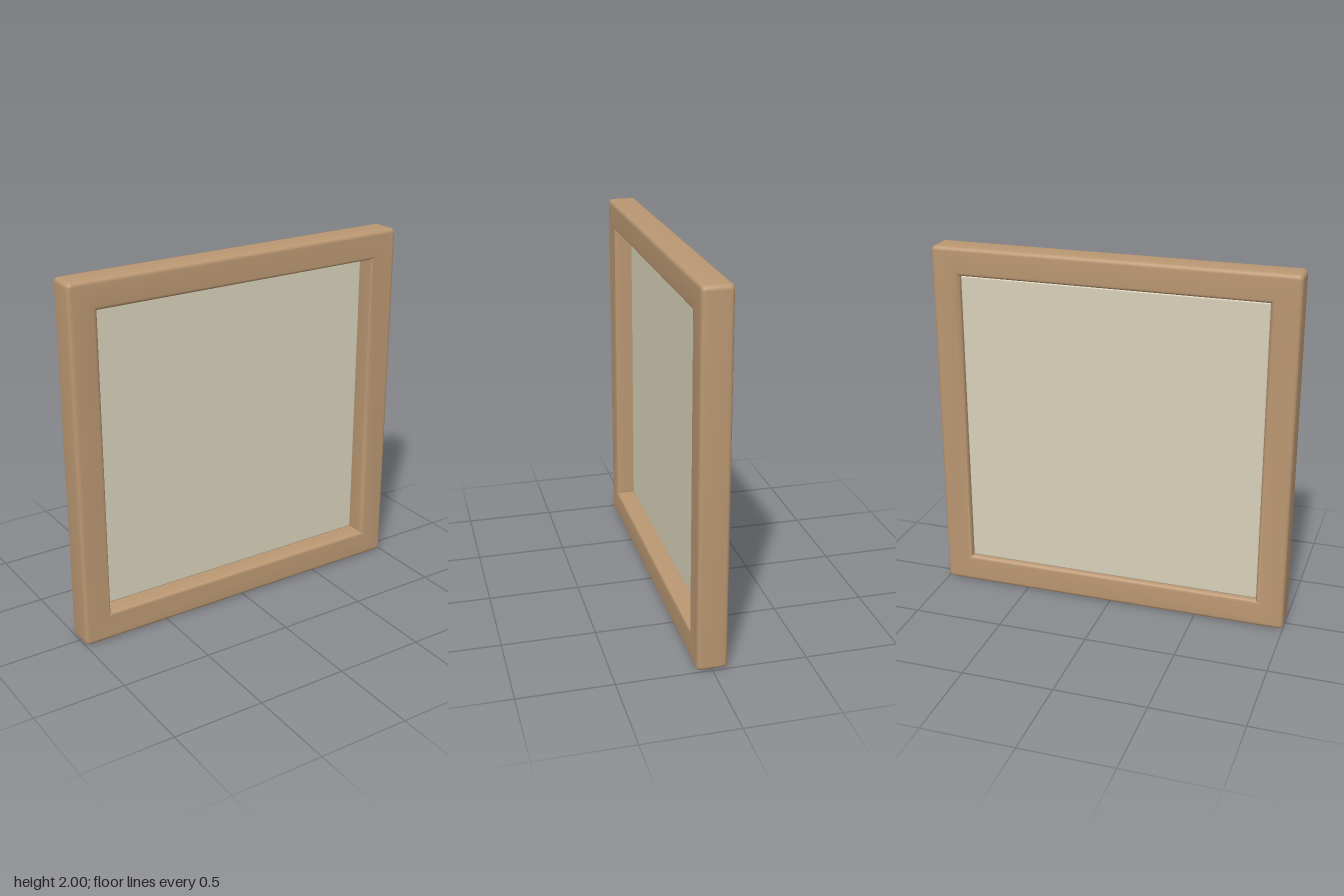
import * as THREE from 'three';
import { toCreasedNormals } from 'three/addons/utils/BufferGeometryUtils.js';
import { RoundedBoxGeometry } from 'three/addons/geometries/RoundedBoxGeometry.js';

const DEPTH = 0.16;    // frame thickness
const BEVEL = 0.022;   // rounding of the frame edges
const OPENING = 0.843; // half size of the opening

// Square outline of half size h with corners of radius r
function roundedSquare(h, r) {
  const s = new THREE.Shape();
  const c = h - r;
  s.absarc(c, c, r, 0, Math.PI / 2);
  s.absarc(-c, c, r, Math.PI / 2, Math.PI);
  s.absarc(-c, -c, r, Math.PI, Math.PI * 1.5);
  s.absarc(c, -c, r, Math.PI * 1.5, Math.PI * 2);
  s.closePath();
  return s;
}

// Square frame with rounded edges inside and out
function frameGeometry() {
  const k = 100; // built large so that creasing resolves the fine bevels
  const shape = roundedSquare((1 - BEVEL) * k, 0.005 * k);
  const h = (OPENING + BEVEL) * k;
  shape.holes.push(new THREE.Path([
    new THREE.Vector2(-h, -h), new THREE.Vector2(-h, h),
    new THREE.Vector2(h, h), new THREE.Vector2(h, -h),
  ]));
  const geo = new THREE.ExtrudeGeometry(shape, {
    depth: (DEPTH - 2 * BEVEL) * k,
    bevelSize: BEVEL * k,
    bevelThickness: BEVEL * k,
    bevelSegments: 5,
    curveSegments: 5,
  });
  geo.translate(0, 0, -(DEPTH / 2 - BEVEL) * k);
  return toCreasedNormals(geo, 0.7).scale(1 / k, 1 / k, 1 / k);
}

export function createModel() {
  const group = new THREE.Group();

  const frame = new THREE.Mesh(frameGeometry(), new THREE.MeshStandardMaterial({ color: 0xba9772 }));
  frame.name = 'frame';
  frame.position.y = 1;

  // Panel set towards the back of the frame
  const size = 2 * OPENING;
  const panel = new THREE.Mesh(
    new RoundedBoxGeometry(size, size, 0.036, 3, 0.01),
    new THREE.MeshStandardMaterial({ color: 0xd8d0b9 }),
  );
  panel.name = 'panel';
  panel.position.set(0, 1, -0.038);

  group.add(frame, panel);
  return group;
}
